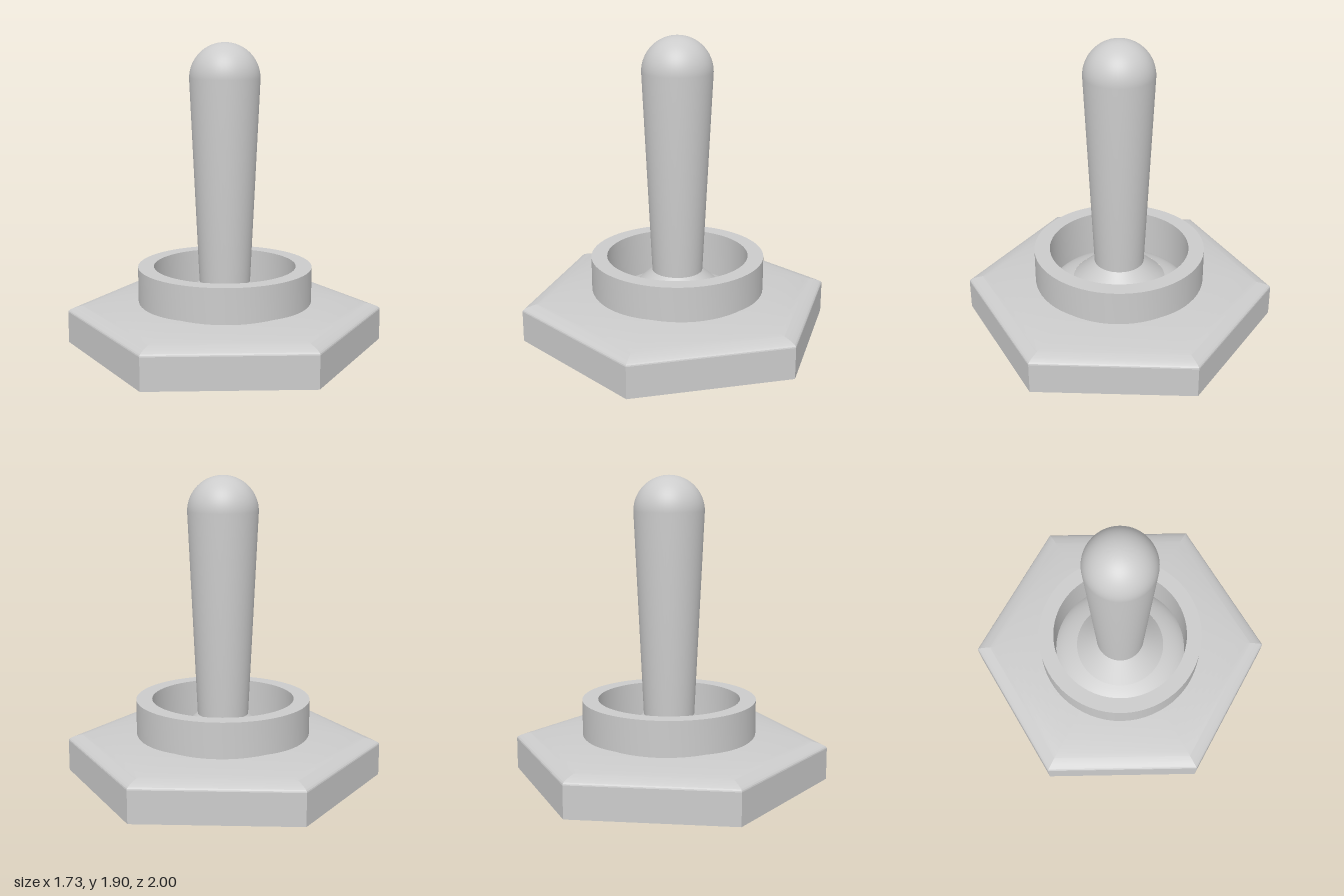
import * as THREE from 'three';
import { toCreasedNormals } from 'three/addons/utils/BufferGeometryUtils.js';

const material = new THREE.MeshStandardMaterial({ color: 0xcccccc });

// Revolve a profile of [radius, height] pairs, keeping sharp edges
function revolve(name, profile, segments, crease = 0.5) {
  const points = profile.map(([r, y]) => new THREE.Vector2(r, y));
  const geometry = toCreasedNormals(new THREE.LatheGeometry(points, segments), crease);
  const mesh = new THREE.Mesh(geometry, material);
  mesh.name = name;
  return mesh;
}

// Points on an elliptical arc, angles in radians from the horizontal
function arc(rx, ry, y, from, to, steps) {
  return Array.from({ length: steps + 1 }, (_, i) => {
    const a = from + (to - from) * i / steps;
    return [Math.max(0, rx * Math.cos(a)), y + ry * Math.sin(a)];
  });
}

export function createModel() {
  const group = new THREE.Group();
  group.name = 'toggleSwitch';

  // Hexagonal base with a corner at the front and back
  group.add(revolve('hexBase', [[0, 0], [1, 0], [1, 0.2]], 6));

  // Curved hexagonal top of the base, running in under the collar
  group.add(revolve('baseDome', arc(1, 0.1, 0.2, 0, Math.acos(0.54), 14), 6, 0.25));

  // Round collar, open in the middle
  group.add(revolve('collar',
    [[0.55, 0.2], [0.55, 0.5], [0.45, 0.5], [0.45, 0.18]], 64));

  // Rounded seat at the bottom of the collar
  group.add(revolve('pivotSeat', arc(0.48, 0.18, 0.13, 0.3, Math.acos(0.3 / 0.48), 8), 64));

  // Conical boot around the foot of the lever
  group.add(revolve('boot', [[0.3, 0.27], [0.16, 0.4], [0, 0.4]], 64));

  // Tapered lever with a hemispherical tip
  group.add(revolve('lever',
    [[0.16, 0.38], ...arc(0.22, 0.22, 1.68, 0, Math.PI / 2, 16)], 48));

  return group;
}
